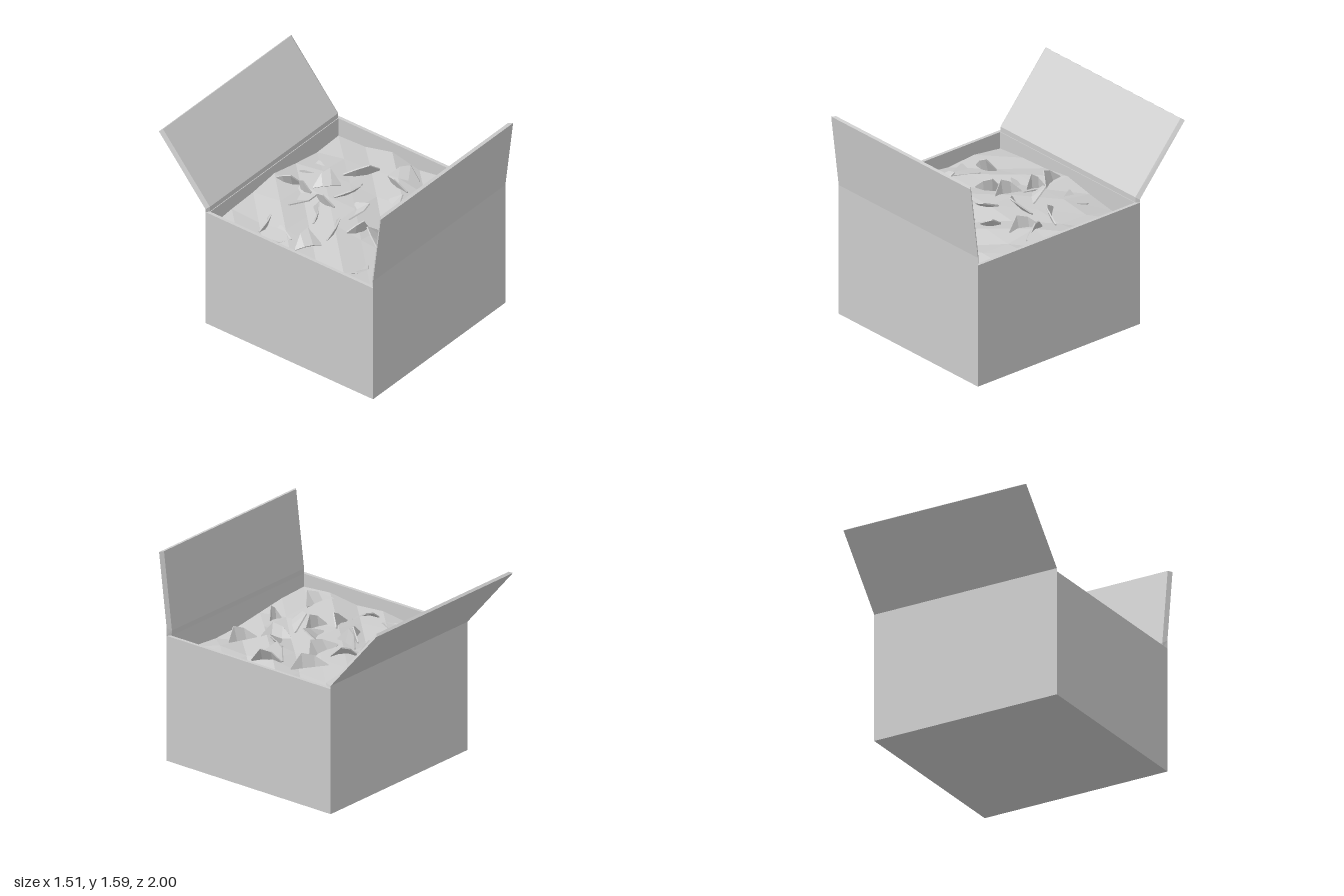
import * as THREE from 'three';

const grey = new THREE.MeshStandardMaterial({ color: 0xcccccc, flatShading: true });
const greyThin = new THREE.MeshStandardMaterial({ color: 0xcccccc, flatShading: true, side: THREE.DoubleSide });

const HALF = 0.755, WALL = 0.025, TOP = 0.96, ZMID = 0.175;
const INNER = HALF - WALL;

// Height of the packing at the knots of a 7 x 7 grid, rows from back to front
const heights = [
  [0.83, 0.85, 0.86, 0.89, 0.84, 0.80, 0.81],
  [0.86, 0.84, 0.89, 0.87, 0.88, 0.85, 0.82],
  [0.84, 0.88, 0.86, 0.90, 0.88, 0.86, 0.88],
  [0.87, 0.86, 0.90, 0.90, 0.87, 0.90, 0.83],
  [0.85, 0.89, 0.87, 0.84, 0.89, 0.86, 0.87],
  [0.88, 0.86, 0.85, 0.86, 0.83, 0.87, 0.86],
  [0.86, 0.85, 0.82, 0.79, 0.78, 0.80, 0.90],
];

function packingHeight(x, z) {
  const u = THREE.MathUtils.clamp((x + INNER) / (2 * INNER), 0, 1) * 6;
  const v = THREE.MathUtils.clamp((z - ZMID + INNER) / (2 * INNER), 0, 1) * 6;
  const i = Math.min(5, Math.floor(u)), j = Math.min(5, Math.floor(v));
  const row = (r) => THREE.MathUtils.lerp(heights[r][i], heights[r][i + 1], u - i);
  return THREE.MathUtils.lerp(row(j), row(j + 1), v - j);
}

// Moves every vertex of a geometry by a rule
function reshape(geometry, rule) {
  const p = geometry.attributes.position;
  const v = new THREE.Vector3();
  for (let i = 0; i < p.count; i++) {
    rule(v.fromBufferAttribute(p, i));
    p.setXYZ(i, v.x, v.y, v.z);
  }
  geometry.computeVertexNormals();
  return geometry;
}

function add(parent, name, geometry, material = grey) {
  const mesh = new THREE.Mesh(geometry, material);
  mesh.name = name;
  parent.add(mesh);
  return mesh;
}

// Bent lid flap with mitred sides; outer and inner list [z, y] from hinge to free edge
function flapGeometry(outer, inner, outSign) {
  return reshape(new THREE.BoxGeometry(2, 2, 2, 1, 2, 1), (v) => {
    const isOuter = v.z * outSign > 0;
    const [z, y] = (isOuter ? outer : inner)[Math.round(v.y + 1)];
    v.set(Math.sign(v.x) * (isOuter ? HALF : INNER), y, z);
  });
}

// Curved sliver between two plan points; width is its plan width, the rest of it stands up
function shardGeometry(x1, z1, x2, z2, width) {
  const a = new THREE.Vector3(x1, packingHeight(x1, z1), z1);
  const b = new THREE.Vector3(x2, packingHeight(x2, z2), z2);
  const along = b.clone().sub(a).normalize();
  const rise = 0.03 + 0.5 * Math.sqrt(Math.max(0, 0.0225 - width * width));
  const across = new THREE.Vector3(-along.z * width, rise, along.x * width);
  const normal = across.clone().cross(along).normalize();
  const profile = [0.08, 0.75, 1, 0.12];
  return reshape(new THREE.BoxGeometry(1, 0.01, 1, 3, 1, 1), (v) => {
    const u = v.x + 0.5, t = v.z + 0.5;
    const lift = v.y + 0.025 * Math.sin(Math.PI * u);
    v.lerpVectors(a, b, u)
      .addScaledVector(across, t * profile[Math.round(u * 3)])
      .addScaledVector(normal, -lift);
    v.y += 0.005;
  });
}

// Shards: x and z of both ends, then signed plan width
const shards = [
  [-0.03, -0.51, 0.03, -0.33, 0.04], [0.15, -0.45, 0.36, -0.44, 0.16],
  [-0.24, -0.24, 0.02, -0.34, 0.16], [-0.60, -0.22, -0.44, -0.27, 0.03],
  [-0.68, -0.16, -0.46, -0.14, 0.18], [0.03, -0.23, 0.17, -0.09, -0.10],
  [-0.31, 0.04, -0.15, -0.08, 0.02], [-0.03, -0.15, -0.08, 0.05, 0.03],
  [0.01, -0.03, 0.28, 0.01, 0.08], [0.29, -0.17, 0.51, -0.01, 0.04],
  [-0.63, 0.13, -0.47, 0.24, -0.13], [-0.41, 0.24, -0.21, 0.17, 0.03],
  [-0.13, 0.22, 0.05, 0.13, 0.11], [0.47, 0.10, 0.40, 0.33, 0.04],
  [0.48, 0.10, 0.56, 0.31, -0.05], [-0.26, 0.30, -0.09, 0.36, 0.02],
  [0.06, 0.36, 0.17, 0.55, 0.06], [0.14, 0.38, 0.25, 0.28, 0.08],
  [-0.27, 0.61, -0.06, 0.43, -0.10], [-0.66, 0.57, -0.45, 0.64, 0.11],
  [0.18, 0.58, 0.39, 0.66, 0.05], [-0.20, 0.67, -0.11, 0.70, 0.02],
  [0.02, -0.34, -0.03, -0.20, 0.02],
];

export function createModel() {
  const model = new THREE.Group();
  model.name = 'openBox';

  // Four walls as one square tube
  const square = (h) => [[-h, -h], [h, -h], [h, h], [-h, h]].map(([x, y]) => new THREE.Vector2(x, y));
  const outline = new THREE.Shape(square(HALF));
  outline.holes.push(new THREE.Path(square(INNER).reverse()));
  const walls = new THREE.ExtrudeGeometry(outline, { depth: TOP, bevelEnabled: false });
  walls.rotateX(-Math.PI / 2).translate(0, 0, ZMID);
  add(model, 'walls', walls);
  add(model, 'floor', new THREE.BoxGeometry(2 * INNER, WALL, 2 * INNER)).position.set(0, WALL / 2, ZMID);

  // Flaps: steep at the front, laid back at the rear
  add(model, 'frontFlap', flapGeometry(
    [[0.93, TOP], [0.93, 1.02], [1.0, 1.585]],
    [[0.905, TOP], [0.902, 1.0], [0.975, 1.59]], 1));
  add(model, 'backFlap', flapGeometry(
    [[-0.58, TOP], [-0.58, 0.985], [-1.0, 1.475]],
    [[-0.56, TOP], [-0.56, 1.0], [-0.982, 1.488]], -1));

  // Crumpled packing sheet
  const sheet = new THREE.PlaneGeometry(2 * INNER, 2 * INNER, 6, 6);
  sheet.rotateX(-Math.PI / 2).translate(0, 0, ZMID);
  reshape(sheet, (v) => { v.y = packingHeight(v.x, v.z); });
  add(model, 'packing', sheet, greyThin);

  // Loose shards on the packing
  const loose = new THREE.Group();
  loose.name = 'shards';
  shards.forEach((s) => add(loose, 'shard', shardGeometry(...s), greyThin));
  model.add(loose);

  return model;
}
